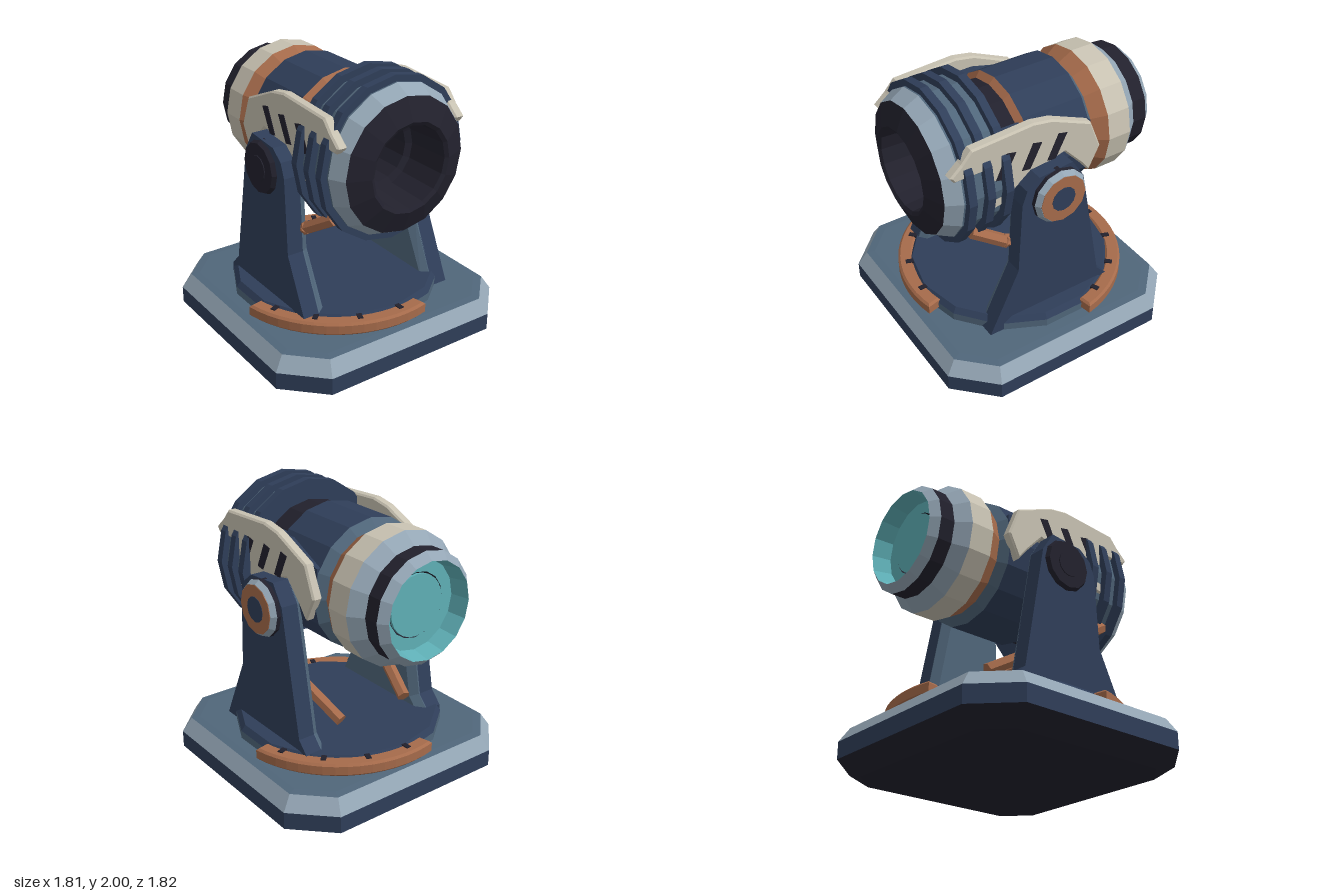
import * as THREE from 'three';

const mat = (name, hex) => {
  const m = new THREE.MeshStandardMaterial({ color: hex });
  m.name = name;
  return m;
};

export function createModel() {
  const navy = mat('navy', 0x2f3e59), slate = mat('slate', 0x50667a), steel = mat('steel', 0x94a6b5);
  const cream = mat('cream', 0xc8c2b2), copper = mat('copper', 0xa66b4b);
  const black = mat('black', 0x22212d), teal = mat('teal', 0x5fb0b7);
  const AXIS = 1.45;
  const root = new THREE.Group();
  root.name = 'turret';

  // Faceted mesh
  const add = (name, geo, material) => {
    const g = geo.index ? geo.toNonIndexed() : geo;
    g.computeVertexNormals();
    const m = new THREE.Mesh(g, material);
    m.name = name;
    root.add(m);
    return m;
  };

  // Turned section on the barrel axis; points are [radius, z]
  const turned = (name, pts, material, sides = 16) => {
    const g = new THREE.LatheGeometry(pts.map(p => new THREE.Vector2(p[0], p[1])), sides);
    g.rotateX(Math.PI / 2).translate(0, AXIS, 0);
    add(name, g, material);
  };

  // Side slab from a [z, y] outline, between two x values, on the given side
  const slab = (name, side, pts, x0, x1, material, bevel = 0) => {
    const shape = new THREE.Shape(pts.map(p => new THREE.Vector2(p[0], p[1])));
    const g = new THREE.ExtrudeGeometry(shape, {
      depth: x1 - x0 - 2 * bevel, bevelEnabled: bevel > 0, bevelThickness: bevel,
      bevelSize: bevel, bevelOffset: -bevel, bevelSegments: 1,
    });
    g.rotateY(-Math.PI / 2).translate((side > 0 ? x1 : -x0) - bevel, 0, 0);
    add(name, g, material);
  };

  // Chamfered square base; levels are [inset, y]
  const octagon = inset => {
    const hx = 0.905 - inset, hz = 0.89 - inset, c = 0.255 - inset * 0.586;
    return [[hx, c - hz], [hx, hz - c], [hx - c, hz], [c - hx, hz],
      [-hx, hz - c], [-hx, c - hz], [c - hx, -hz], [hx - c, -hz]];
  };
  const baseBand = (name, levels, material, cap = 0) => {
    const pos = [];
    const rings = levels.map(([i, y]) => octagon(i).map(([x, z]) => [x, y, z + 0.015]));
    for (let i = 0; i < 8; i++) {
      const j = (i + 1) % 8;
      for (let k = 0; k + 1 < rings.length; k++) {
        const a = rings[k][i], b = rings[k][j], c = rings[k + 1][j], d = rings[k + 1][i];
        pos.push(...a, ...d, ...c, ...a, ...c, ...b);
      }
      if (cap > 0) {
        const r = rings[rings.length - 1];
        pos.push(0, r[0][1], 0, ...r[j], ...r[i]);
      } else if (cap < 0) pos.push(0, rings[0][0][1], 0, ...rings[0][i], ...rings[0][j]);
    }
    const g = new THREE.BufferGeometry();
    g.setAttribute('position', new THREE.Float32BufferAttribute(pos, 3));
    add(name, g, material);
  };
  baseBand('baseFoot', [[0.145, 0], [0, 0.1]], black, -1);
  baseBand('baseSide', [[0, 0.1], [0, 0.22]], navy);
  baseBand('baseBevel', [[0, 0.22], [0.065, 0.32]], steel);
  baseBand('baseTop', [[0.065, 0.32], [0.12, 0.325]], slate, 1);

  // Turntable
  add('turntableRim', new THREE.CylinderGeometry(0.73, 0.73, 0.06, 14).translate(0, 0.35, 0), slate);
  add('turntable', new THREE.CylinderGeometry(0.7, 0.73, 0.04, 14).translate(0, 0.4, 0), navy);

  // Two copper arc rails with dark index marks
  for (const turn of [0, Math.PI]) {
    const deg = d => d * Math.PI / 180 + turn;
    const shape = new THREE.Shape();
    shape.absarc(0, 0, 0.8, deg(76), deg(170), false);
    shape.absarc(0, 0, 0.695, deg(170), deg(76), true);
    const g = new THREE.ExtrudeGeometry(shape, {
      depth: 0.06, curveSegments: 8, bevelThickness: 0.015, bevelSize: 0.015,
      bevelOffset: -0.015, bevelSegments: 1,
    });
    g.rotateX(Math.PI / 2).translate(0, 0.4, 0);
    add('arcRail', g, copper);
    for (const d of [158, 135, 112, 89]) {
      const mark = new THREE.BoxGeometry(0.055, 0.03, 0.035).translate(0.722, 0.407, 0);
      add('railMark', mark.rotateY(-deg(d)), black);
    }
  }

  // Barrel, rear to front
  turned('rearRim', [[0.325, -0.91], [0.375, -0.855]], steel);
  turned('rearBand', [[0.375, -0.855], [0.375, -0.75]], black);
  turned('rearTaper', [[0.375, -0.75], [0.45, -0.66]], steel);
  turned('creamBand', [[0.45, -0.66], [0.45, -0.49]], cream);
  turned('rearCopperBand', [[0.45, -0.49], [0.39, -0.39]], copper);
  turned('bodyShoulder', [[0.39, -0.39], [0.45, -0.34]], slate);
  turned('body', [[0.45, -0.34], [0.45, 0.11]], navy);
  turned('frontCopperBand', [[0.45, 0.11], [0.41, 0.15]], copper);
  turned('neck', [[0.41, 0.15], [0.41, 0.33]], black);
  turned('finCore', [[0.4, 0.33], [0.5, 0.33], [0.505, 0.65]], slate);
  for (const z of [0.32, 0.452, 0.583]) {
    turned('coolingFin', [[0.4, z], [0.55, z], [0.55, z + 0.055], [0.4, z + 0.055]], navy);
  }
  turned('muzzleCollar', [[0.505, 0.65], [0.45, 0.755]], steel);
  turned('muzzle', [[0.45, 0.755], [0.3, 0.815], [0.275, 0.8], [0.26, 0.5], [0.217, 0.48], [0.217, -0.78]], black);
  turned('rearCup', [[0.217, -0.78], [0.3, -0.78], [0.325, -0.91]], teal);
  turned('lens', [[0, -0.79], [0.206, -0.79], [0.206, -0.77], [0, -0.77]], teal, 24);

  // Cylinder across x, with one radius at each end
  const hub = (name, r0, r1, x0, x1, material, sides = 12) => {
    const g = new THREE.CylinderGeometry(r1, r0, x1 - x0, sides);
    g.rotateZ(-Math.PI / 2).translate((x0 + x1) / 2, 1.32, 0.02);
    add(name, g, material);
  };
  hub('leftHubBase', 0.195, 0.195, 0.56, 0.615, black);
  hub('leftHub', 0.195, 0.17, 0.615, 0.65, steel);
  hub('leftHubFace', 0.168, 0.168, 0.648, 0.654, copper);
  hub('leftHubPin', 0.088, 0.088, 0.65, 0.657, navy);
  hub('rightHub', 0.17, 0.195, -0.615, -0.56, black);
  hub('rightHubPin', 0.088, 0.088, -0.622, -0.61, black);

  const postOutline = [[0.53, 0.33], [0.31, 0.8], [0.285, 1.33], [0.25, 1.43], [0.16, 1.5],
    [-0.09, 1.52], [-0.18, 1.38], [-0.345, 0.5], [-0.43, 0.41], [-0.43, 0.33]];
  const plateOutline = [[0.73, 1.66], [0.65, 1.73], [0.58, 1.81], [0.14, 1.835], [0, 1.81],
    [-0.3, 1.68], [-0.385, 1.47], [-0.3, 1.305], [-0.23, 1.39], [-0.1, 1.53], [0.2, 1.45],
    [0.38, 1.31], [0.46, 1.3], [0.48, 1.62], [0.7, 1.62]];
  const linerOutline = [[0.32, 1.74], [0.02, 1.74], [-0.34, 1.65], [-0.34, 1.45], [0.32, 1.35]];

  // Straight strut between two points
  const strut = (a, b) => {
    const p = new THREE.Vector3(...a), q = new THREE.Vector3(...b), d = q.clone().sub(p);
    const m = add('strut', new THREE.CylinderGeometry(0.045, 0.045, d.length(), 6), copper);
    m.position.copy(p).add(q).multiplyScalar(0.5);
    m.quaternion.setFromUnitVectors(new THREE.Vector3(0, 1, 0), d.normalize());
  };

  for (const s of [1, -1]) {
    // Support posts
    slab('post', s, postOutline, 0.465, 0.585, navy);
    slab('postLining', s, postOutline, 0.41, 0.52, slate, 0.05);
    // Armour plate with dark slots
    slab('plateLiner', s, linerOutline, 0.3, 0.425, navy);
    slab('armourPlate', s, plateOutline, 0.415, 0.487, cream, 0.012);
    for (const z of [0.38, 0.19, 0]) {
      slab('plateSlot', s, [[z + 0.035, 1.52], [z - 0.025, 1.51], [z - 0.11, 1.68], [z - 0.045, 1.695]],
        0.483, 0.491, black);
    }
    // Bent copper brace under the barrel
    strut([s * 0.38, 1.1, 0.54], [s * 0.45, 0.96, 0.31]);
    strut([s * 0.45, 0.98, 0.34], [s * 0.275, 0.56, -0.39]);
  }
  return root;
}
